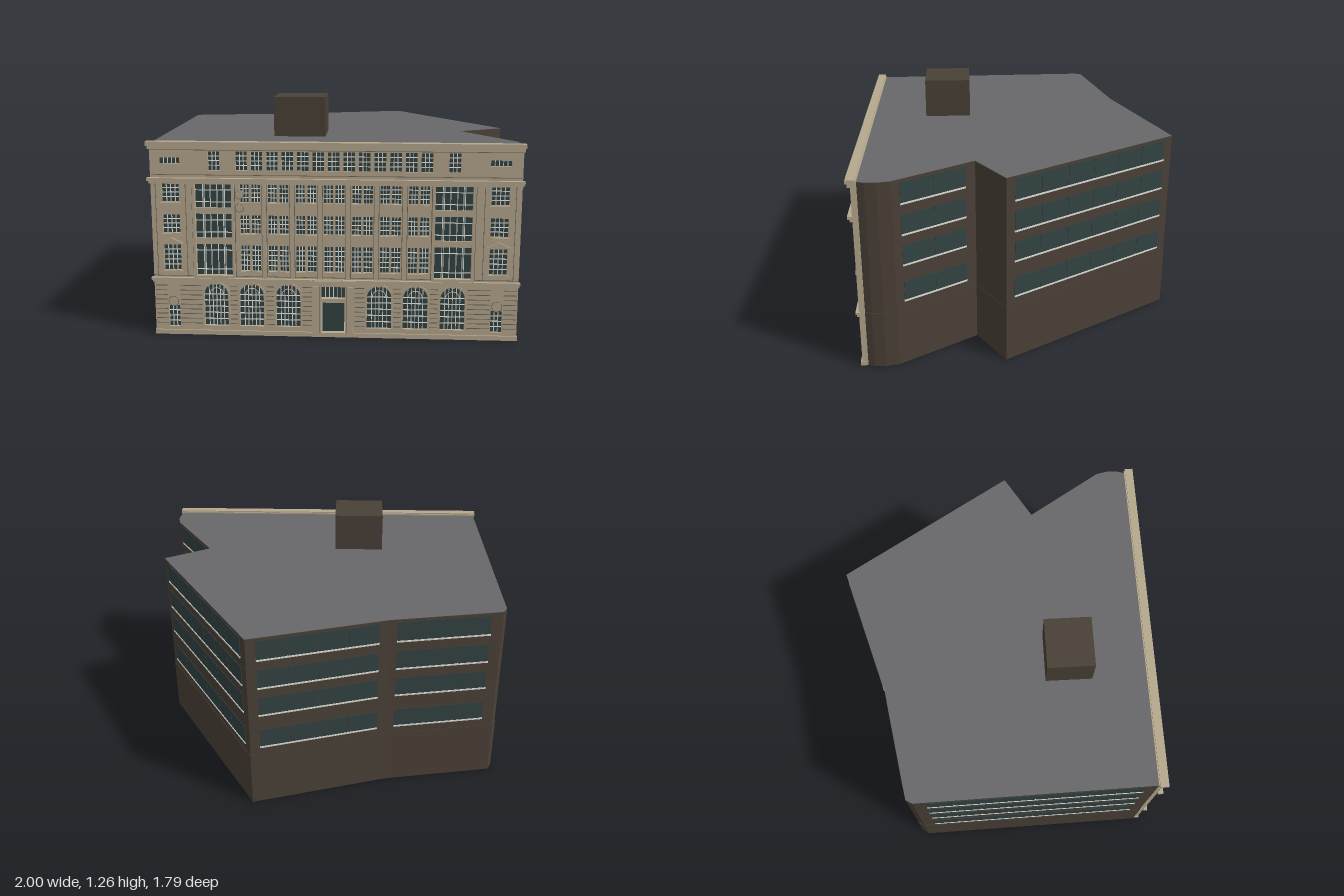
import * as THREE from 'three';
import { mergeGeometries } from 'three/addons/utils/BufferGeometryUtils.js';

const mat = (name, color, side = THREE.FrontSide) => {
  const m = new THREE.MeshStandardMaterial({ color, side });
  m.name = name;
  return m;
};

// Box given by its limits
function bar(x0, x1, y0, y1, z0, z1) {
  return new THREE.BoxGeometry(x1 - x0, y1 - y0, z1 - z0)
    .translate((x0 + x1) / 2, (y0 + y1) / 2, (z0 + z1) / 2);
}

function rectPath(x0, x1, y0, y1, P = THREE.Path) {
  const p = new P();
  p.moveTo(x0, y0); p.lineTo(x1, y0); p.lineTo(x1, y1); p.lineTo(x0, y1); p.closePath();
  return p;
}

function archPath(x, y0, yc, r, P = THREE.Path) {
  const p = new P();
  p.moveTo(x - r, y0); p.lineTo(x + r, y0); p.lineTo(x + r, yc);
  p.absarc(x, yc, r, 0, Math.PI, false);
  p.closePath();
  return p;
}

const extrude = (shape, depth, z = 0) =>
  new THREE.ExtrudeGeometry(shape, { depth, bevelEnabled: false, curveSegments: 12 }).translate(0, 0, z);

export function createModel() {
  const model = new THREE.Group();
  const stone = mat('stone', 0xb5a88d);
  const groove = mat('groove', 0x6c655a);
  const wall = mat('dark wall', 0x4a4037);
  const roofing = mat('roofing', 0x676669);
  const glass = mat('glass', 0x334242);
  const trim = mat('white trim', 0xdcdcd4);

  const add = (parent, name, parts, material) => {
    const list = [].concat(parts).map(g => (g.index ? g.toNonIndexed() : g));
    const mesh = new THREE.Mesh(mergeGeometries(list), material);
    mesh.name = name;
    parent.add(mesh);
  };

  // Main block: plan as x, z, running round from the front left corner
  const plan = [[-0.983, 0.688], [0.95, 0.838], [0.966, 0.80], [0.974, 0.74], [0.965, 0.67], [0.735, 0.235],
    [0.995, 0.105], [0.48, -0.897], [-0.27, -0.73], [-0.885, -0.67], [-0.91, -0.635]];
  const planShape = (s = 1) => new THREE.Shape(plan.map(([x, z]) => new THREE.Vector2(x * s, -z * s)));
  add(model, 'mainBlock', extrude(planShape(), 1.045).rotateX(-Math.PI / 2), wall);
  add(model, 'baseCourse', extrude(planShape(1.003), 0.32).rotateX(-Math.PI / 2), wall);
  add(model, 'roof', new THREE.ShapeGeometry(planShape()).rotateX(-Math.PI / 2).translate(0, 1.047, 0), roofing);
  add(model, 'roofHouse', new THREE.BoxGeometry(0.285, 0.22, 0.262).rotateY(-0.077).translate(-0.187, 1.155, 0.31), wall);

  // Ribbon windows on the side and back walls: plan edge, start, end, pane count
  const rows = [[0.37, 0.48], [0.575, 0.685], [0.745, 0.855], [0.915, 1.03]];
  for (const [i, t0, t1, n] of [[4, 0.09, 0.875, 2], [6, 0.045, 0.95, 6], [7, 0.07, 0.93, 4], [8, 0.07, 0.9, 3], [10, 0.05, 0.95, 8]]) {
    const [ax, az] = plan[i], [bx, bz] = plan[(i + 1) % plan.length];
    const len = Math.hypot(bx - ax, bz - az);
    const side = new THREE.Group();
    side.name = 'ribbonWindows';
    side.position.set(ax, 0, az);
    side.rotation.y = Math.atan2(az - bz, bx - ax);
    const panes = [], sills = [], w = (t1 - t0) * len / n;
    for (const [y0, y1] of rows) {
      for (let k = 0; k < n; k++) {
        const x = t0 * len + k * w;
        panes.push(bar(x + 0.002, x + w - 0.002, y0, y1, -0.002, 0.003));
      }
      sills.push(bar(t0 * len, t1 * len, y0 - 0.005, y0 + 0.004, -0.002, 0.006));
    }
    add(side, 'panes', panes, glass);
    add(side, 'sills', sills, trim);
    model.add(side);
  }

  // Street front, its face at local z = 0
  const front = new THREE.Group();
  front.name = 'streetFront';
  front.position.z = 0.7926;
  front.rotation.y = -0.0775;
  model.add(front);

  const face = rectPath(-0.985, 0.96, 0.003, 1.055, THREE.Shape);
  const bars = [], relief = [], grooves = [];
  const vBar = (x, y0, y1) => bars.push(bar(x - 0.002, x + 0.002, y0, y1, -0.016, -0.008));
  const hBar = (x0, x1, y) => bars.push(bar(x0, x1, y - 0.002, y + 0.002, -0.016, -0.008));
  const mullions = (x0, x1, y0, y1, cols, rws) => {
    for (let i = 1; i < cols; i++) vBar(x0 + (x1 - x0) * i / cols, y0, y1);
    for (let j = 1; j < rws; j++) hBar(x0, x1, y0 + (y1 - y0) * j / rws);
  };
  const opening = (cx, w, y0, y1, cols, rws) => {
    face.holes.push(rectPath(cx - w / 2, cx + w / 2, y0, y1));
    mullions(cx - w / 2, cx + w / 2, y0, y1, cols, rws);
  };
  const floors = [[0.365, 0.505, 5], [0.57, 0.67, 4], [0.74, 0.838, 4]];

  // Top floor windows
  for (let i = 0; i < 13; i++) opening(-0.5 + i * 0.0807, 0.06, 0.91, 1.01, 3, 4);
  for (const x of [-0.645, 0.612]) opening(x, 0.06, 0.91, 1.01, 3, 4);
  for (const x of [-0.88, 0.848]) opening(x, 0.108, 0.945, 0.975, 5, 1);

  // Paired windows with pilasters between
  for (let i = 0; i < 7; i++) {
    const x = -0.013 + (i - 3) * 0.148;
    for (const [y0, y1, n] of floors) {
      for (const s of [-1, 1]) opening(x + s * 0.03, 0.047, y0, y1, 3, n);
      relief.push(bar(x - 0.056, x + 0.056, y0 - 0.012, y0 - 0.002, -0.005, 0.006));
    }
    if (i < 6) {
      relief.push(bar(x + 0.063, x + 0.085, 0.32, 0.845, -0.005, 0.007));
      for (const e of [0.061, 0.087]) grooves.push(bar(x + e - 0.0015, x + e + 0.0015, 0.33, 0.84, -0.004, 0.001));
    }
  }

  // Outer bays: windows with a pediment, small ground windows with a roundel
  for (const x of [-0.88, 0.85]) {
    for (const [y0, y1, n] of floors) {
      opening(x, 0.092, y0, y1, 4, n);
      relief.push(bar(x - 0.054, x + 0.054, y0 - 0.014, y0 - 0.003, -0.005, 0.008));
    }
    const ped = new THREE.Shape([[-0.06, 0.515], [0.06, 0.515], [0, 0.545]].map(([a, b]) => new THREE.Vector2(x + a, b)));
    relief.push(extrude(ped, 0.012));
    opening(x, 0.06, 0.045, 0.165, 3, 4);
    relief.push(new THREE.CylinderGeometry(0.026, 0.026, 0.014, 16).rotateX(Math.PI / 2).translate(x, 0.193, 0.005));
    grooves.push(new THREE.TorusGeometry(0.027, 0.002, 4, 20).translate(x, 0.193, 0.011));
    for (const s of [-1, 1]) grooves.push(bar(x + s * 0.08 - 0.0015, x + s * 0.08 + 0.0015, 0.33, 0.84, -0.004, 0.001));
  }

  // Tall windows in projecting frames
  for (const x of [-0.652, 0.612]) {
    face.holes.push(rectPath(x - 0.097, x + 0.097, 0.34, 0.838));
    const frame = rectPath(x - 0.112, x + 0.112, 0.322, 0.856, THREE.Shape);
    frame.holes.push(rectPath(x - 0.097, x + 0.097, 0.34, 0.838));
    relief.push(extrude(frame, 0.014));
    for (const e of [-0.114, 0.114]) grooves.push(bar(x + e - 0.002, x + e + 0.002, 0.33, 0.85, -0.004, 0.002));
    for (const y of [0.51, 0.675]) relief.push(bar(x - 0.097, x + 0.097, y, y + 0.034, -0.02, -0.003));
    for (const [y0, y1] of [[0.34, 0.51], [0.544, 0.675], [0.709, 0.838]]) {
      for (const e of [-0.058, -0.05, 0.05, 0.058, -0.018, 0.018]) vBar(x + e, y0, y1);
      hBar(x - 0.097, x + 0.097, y0 + 0.03);
      hBar(x - 0.097, x + 0.097, y1 - 0.035);
    }
  }

  // Ground floor arches
  const r = 0.065, yc = 0.228;
  for (const x of [-0.65, -0.457, -0.26, 0.227, 0.42, 0.617]) {
    face.holes.push(archPath(x, 0.055, yc, r));
    const ring = archPath(x, 0.055, yc, r + 0.009, THREE.Shape);
    ring.holes.push(archPath(x, 0.056, yc, r));
    relief.push(extrude(ring, 0.006));
    relief.push(bar(x - 0.011, x + 0.011, yc + r - 0.004, 0.315, -0.005, 0.014));
    for (const e of [-0.04, -0.02, 0, 0.02, 0.04]) vBar(x + e, 0.055, yc + Math.sqrt(r * r - e * e));
    for (const y of [0.09, 0.125, 0.16, 0.195, 0.228]) hBar(x - r, x + r, y);
    bars.push(new THREE.TorusGeometry(0.036, 0.002, 4, 12, Math.PI).translate(x, yc, -0.012));
  }

  // Entrance
  const dx = -0.018;
  const portal = rectPath(dx - 0.112, dx + 0.112, 0.02, 0.316, THREE.Shape);
  for (const [y0, y1] of [[0.03, 0.2], [0.222, 0.288]]) {
    face.holes.push(rectPath(dx - 0.063, dx + 0.063, y0, y1));
    portal.holes.push(rectPath(dx - 0.063, dx + 0.063, y0, y1));
  }
  relief.push(extrude(portal, 0.016), bar(dx - 0.122, dx + 0.122, 0.306, 0.322, 0, 0.026));
  mullions(dx - 0.063, dx + 0.063, 0.222, 0.288, 6, 1);
  for (const s of [-1, 1]) {
    relief.push(bar(dx + s * 0.092 - 0.014, dx + s * 0.092 + 0.014, 0.03, 0.29, 0.01, 0.022));
    grooves.push(bar(dx + s * 0.074 - 0.0015, dx + s * 0.074 + 0.0015, 0.03, 0.29, 0.01, 0.017));
    vBar(dx + s * 0.061, 0.03, 0.2);
  }
  hBar(dx - 0.063, dx + 0.063, 0.198);

  // Rusticated joints between the openings
  const piers = [[-0.98, -0.915], [-0.845, -0.727], [-0.573, -0.534], [-0.38, -0.337], [-0.183, -0.133],
    [0.097, 0.15], [0.304, 0.343], [0.497, 0.54], [0.694, 0.815], [0.885, 0.955]];
  for (let j = 0; j < 9; j++) {
    const y = 0.066 + j * 0.0265;
    for (const [a, b] of piers) grooves.push(bar(a, b, y - 0.002, y + 0.002, -0.004, 0.001));
  }

  // Plinth, belts and cornices, with shadow joints beneath
  relief.push(bar(-0.988, 0.963, 0.003, 0.028, -0.02, 0.008));
  for (const [y0, y1, z] of [[0.3, 0.312, 0.01], [0.312, 0.325, 0.018], [0.838, 0.853, 0.012], [0.853, 0.87, 0.024], [1.022, 1.04, 0.014], [1.04, 1.062, 0.024]]) {
    relief.push(bar(-0.985 - z * 0.6, 0.96 + z * 0.4, y0, y1, y0 > 1 ? -0.024 : -0.005, z));
  }
  for (const y of [0.334, 0.885, 1.017]) grooves.push(bar(-0.98, 0.955, y - 0.0015, y + 0.0015, -0.004, 0.001));

  // Wall ornaments beside the left tall window
  for (const y of [0.715, 0.785]) {
    relief.push(new THREE.CylinderGeometry(0.022, 0.022, 0.02, 14).rotateX(Math.PI / 2).translate(-0.51, y, 0.012));
    grooves.push(new THREE.TorusGeometry(0.022, 0.002, 4, 16).translate(-0.51, y, 0.021));
  }

  add(front, 'frontWall', extrude(face, 0.03, -0.03), stone);
  add(front, 'stoneRelief', relief, stone);
  add(front, 'joints', grooves, groove);
  add(front, 'windowBars', bars, trim);
  add(front, 'frontGlass', bar(-0.97, 0.945, 0.025, 1.02, -0.022, -0.014), glass);
  return model;
}
